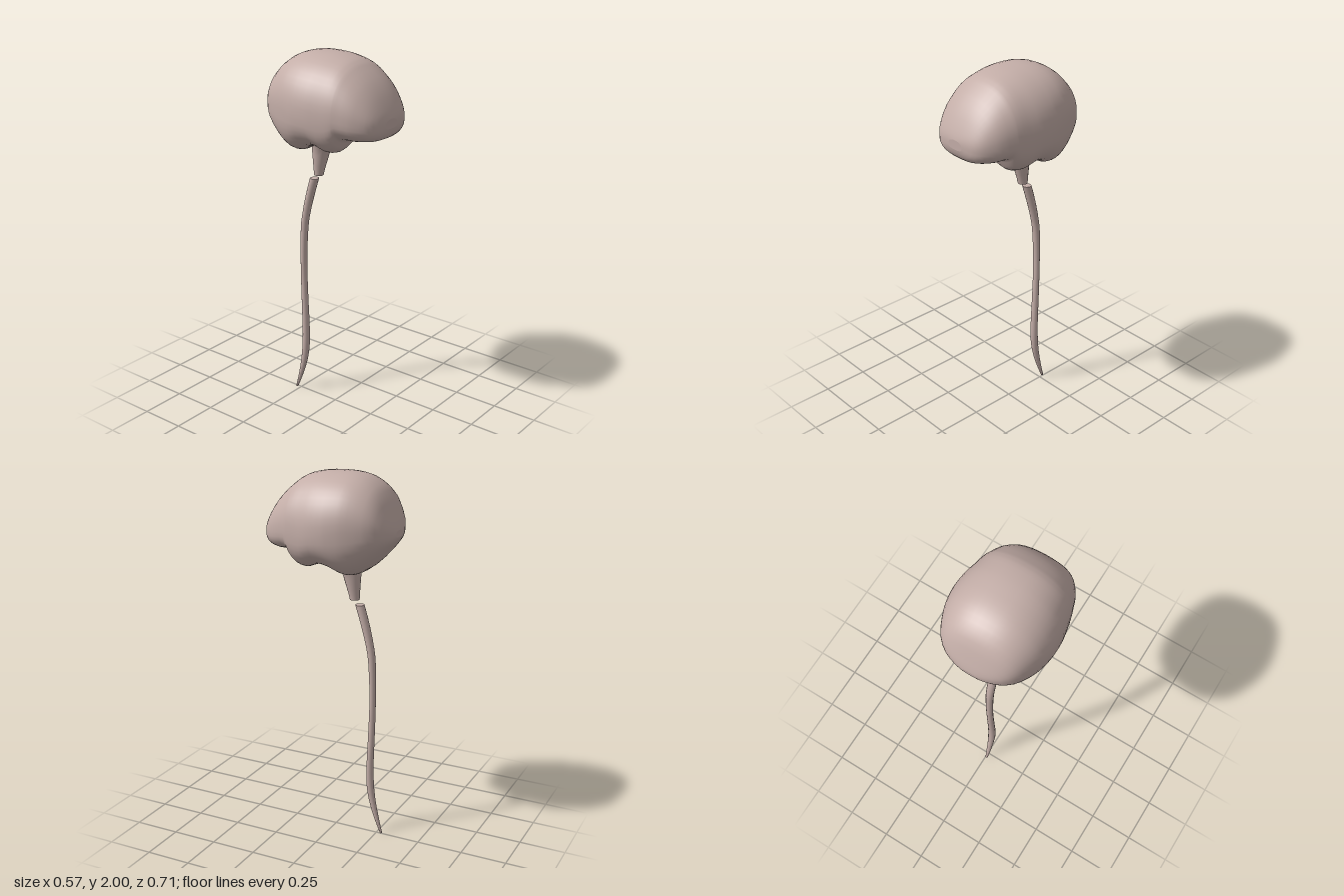
import * as THREE from 'three';

const material = new THREE.MeshStandardMaterial({ color: 0xc4aea8 });

// Catmull-Rom refinement of a table of section parameters
function refine(rows, steps) {
  const out = [];
  const at = (i) => rows[Math.min(Math.max(i, 0), rows.length - 1)];
  for (let i = 0; i < rows.length - 1; i++) {
    for (let s = 0; s < steps; s++) {
      const t = s / steps;
      out.push(rows[i].map((p1, k) => {
        const p0 = at(i - 1)[k], p2 = at(i + 1)[k], p3 = at(i + 2)[k];
        const m1 = (p2 - p0) / 2, m2 = (p3 - p1) / 2;
        return p1 + m1 * t + (3 * (p2 - p1) - 2 * m1 - m2) * t * t
          + (2 * (p1 - p2) + m1 + m2) * t * t * t;
      }));
    }
  }
  out.push(rows[rows.length - 1]);
  return out;
}

// Closed skin through a list of sections, with a flat cap on each end
function loft(name, rows, sides, point) {
  const positions = [], index = [];
  const rings = rows.map((row) => Array.from({ length: sides },
    (_, j) => point(row, (j / sides) * Math.PI * 2)));
  rings.forEach((ring) => ring.forEach((p) => positions.push(...p)));
  for (let i = 0; i < rings.length - 1; i++) {
    for (let j = 0; j < sides; j++) {
      const k = (j + 1) % sides;
      const a = i * sides + j, b = (i + 1) * sides + j;
      const c = (i + 1) * sides + k, d = i * sides + k;
      index.push(a, b, d, b, c, d);
    }
  }
  [rings[0], rings[rings.length - 1]].forEach((ring, end) => {
    const first = positions.length / 3;
    ring.forEach((p) => positions.push(...p));
    positions.push(...[0, 1, 2].map((k) => ring.reduce((s, p) => s + p[k], 0) / sides));
    for (let j = 0; j < sides; j++) {
      const a = first + j, b = first + (j + 1) % sides;
      index.push(first + sides, end ? b : a, end ? a : b);
    }
  });
  const geometry = new THREE.BufferGeometry();
  geometry.setAttribute('position', new THREE.Float32BufferAttribute(positions, 3));
  geometry.setIndex(index);
  geometry.computeVertexNormals();
  const mesh = new THREE.Mesh(geometry, material);
  mesh.name = name;
  return mesh;
}

const power = (v, p) => Math.sign(v) * Math.abs(v) ** p;

// Upright section of the brain: rounded above, flatter below with a raised midline
function brainPoint([z, top, bottom, width, middle, groove], angle) {
  const c = Math.cos(angle), s = Math.sin(angle);
  const p = 2 / (s >= 0 ? 2.2 : 2.7);
  const x = width * power(c, p);
  const height = s >= 0 ? top - middle : middle - bottom;
  let y = middle + height * power(s, p);
  if (s < 0) y += groove * Math.exp(-((x / 0.08) ** 2)) * s * s;
  return [x, y, z];
}

// Level elliptical section of the stem and cord
function cordPoint([y, z, rx, rz], angle) {
  return [-0.006 + rx * Math.cos(angle), y, z - rz * Math.sin(angle)];
}

export function createModel() {
  const group = new THREE.Group();
  group.name = 'brainAndSpinalCord';

  // Front to back: z, top, bottom, half width, widest height, midline groove
  const brain = [
    [0.354, 1.71, 1.66, 0.05, 1.68, 0],
    [0.346, 1.735, 1.63, 0.11, 1.68, 0],
    [0.325, 1.78, 1.605, 0.155, 1.685, 0],
    [0.29, 1.84, 1.595, 0.19, 1.69, 0],
    [0.24, 1.9, 1.59, 0.223, 1.7, 0],
    [0.18, 1.95, 1.59, 0.245, 1.71, 0],
    [0.16, 1.963, 1.545, 0.252, 1.71, 0.045],
    [0.13, 1.978, 1.512, 0.26, 1.705, 0.08],
    [0.08, 1.99, 1.505, 0.271, 1.7, 0.09],
    [0.02, 1.998, 1.53, 0.282, 1.71, 0.07],
    [-0.05, 2.0, 1.515, 0.284, 1.72, 0.05],
    [-0.1, 1.998, 1.488, 0.277, 1.73, 0.02],
    [-0.15, 1.99, 1.485, 0.266, 1.74, 0],
    [-0.21, 1.967, 1.52, 0.243, 1.74, 0],
    [-0.275, 1.912, 1.585, 0.208, 1.74, 0],
    [-0.32, 1.815, 1.638, 0.155, 1.73, 0],
    [-0.344, 1.755, 1.668, 0.09, 1.715, 0],
    [-0.353, 1.725, 1.69, 0.04, 1.705, 0],
  ];
  group.add(loft('brain', refine(brain, 2), 48, brainPoint));

  // Top to bottom: y, z, x radius, z radius
  const stem = [
    [1.61, -0.055, 0.1, 0.09],
    [1.54, -0.065, 0.072, 0.07],
    [1.48, -0.085, 0.05, 0.053],
    [1.42, -0.094, 0.04, 0.041],
    [1.36, -0.102, 0.03, 0.03],
    [1.33, -0.105, 0.026, 0.026],
  ];
  group.add(loft('brainStem', refine(stem, 2), 16, cordPoint));

  const cord = [
    [1.305, -0.135, 0.026, 0.024],
    [1.2, -0.167, 0.025, 0.023],
    [1.1, -0.192, 0.023, 0.021],
    [1.0, -0.208, 0.022, 0.02],
    [0.8, -0.215, 0.02, 0.017],
    [0.6, -0.211, 0.02, 0.018],
    [0.4, -0.204, 0.022, 0.019],
    [0.28, -0.207, 0.022, 0.02],
    [0.18, -0.222, 0.018, 0.018],
    [0.08, -0.249, 0.013, 0.012],
    [0, -0.276, 0.007, 0.006],
  ];
  group.add(loft('spinalCord', refine(cord, 3), 14, cordPoint));

  return group;
}
